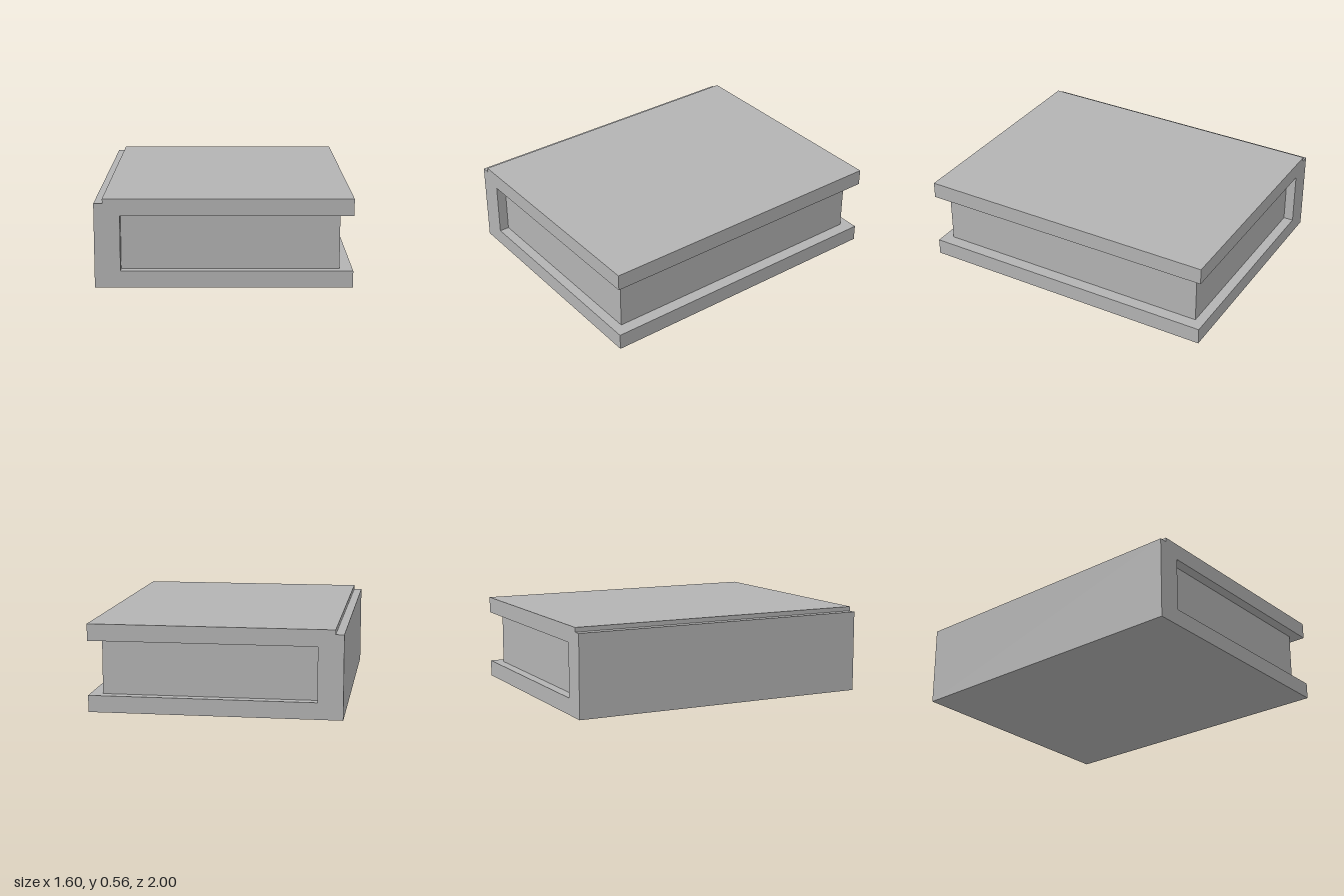
import * as THREE from 'three';

export function createModel() {
  const model = new THREE.Group();
  model.name = 'book';
  const grey = new THREE.MeshStandardMaterial({ color: 0xb3b3b3 });
  grey.name = 'plain grey';

  // Cover: boards and spine as one C-shaped profile, with a step along the spine
  const profile = new THREE.Shape([
    [-0.8, 0], [0.8, 0], [0.8, 0.107], [-0.64, 0.107],
    [-0.64, 0.455], [0.8, 0.455], [0.8, 0.562], [-0.747, 0.562],
    [-0.747, 0.533], [-0.8, 0.533],
  ].map(([x, y]) => new THREE.Vector2(x, y)));
  const coverGeometry = new THREE.ExtrudeGeometry(profile, { depth: 2, bevelEnabled: false });
  coverGeometry.translate(0, 0, -1);
  const cover = new THREE.Mesh(coverGeometry, grey);
  cover.name = 'cover';

  // Page block, set back from the three open edges
  const pages = new THREE.Mesh(new THREE.BoxGeometry(1.36, 0.348, 1.87), grey);
  pages.position.set(0.04, 0.281, 0);
  pages.name = 'pages';

  model.add(cover, pages);
  return model;
}
